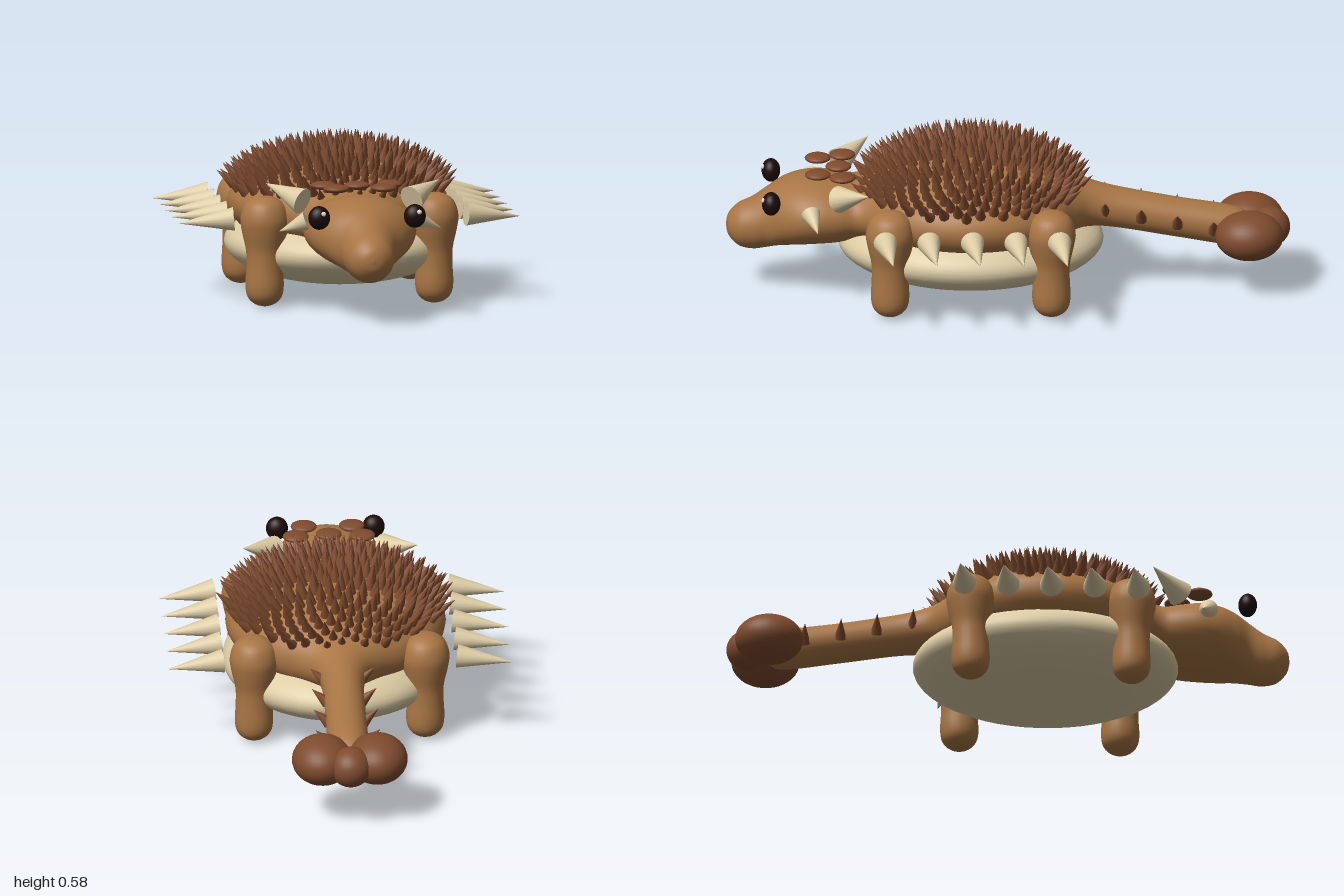
import * as THREE from 'three';
import { mergeGeometries } from 'three/addons/utils/BufferGeometryUtils.js';

const V = (x, y, z) => new THREE.Vector3(x, y, z);
const mat = (name, color) => Object.assign(new THREE.MeshStandardMaterial({ color }), { name });

// Cone whose base is centred on one point and whose tip is at another
function spike(base, tip, radius, sides = 8) {
  const dir = tip.clone().sub(base);
  const len = dir.length();
  const g = new THREE.ConeGeometry(radius, len, sides);
  g.translate(0, len / 2, 0);
  g.applyQuaternion(new THREE.Quaternion().setFromUnitVectors(V(0, 1, 0), dir.normalize()));
  return g.translate(base.x, base.y, base.z);
}

// Smooth skin through elliptical sections [z, centreY, radiusX, radiusY], front to back
function loft(sections, steps = 120, sides = 40) {
  const path = new THREE.CatmullRomCurve3(sections.map(s => V(s[0], s[1], 0)), false, 'catmullrom', 0.5);
  const size = new THREE.CatmullRomCurve3(sections.map(s => V(s[2], s[3], 0)), false, 'catmullrom', 0.5);
  const pos = [], idx = [];
  for (let i = 0; i <= steps; i++) {
    const p = path.getPoint(i / steps), r = size.getPoint(i / steps);
    for (let j = 0; j < sides; j++) {
      const a = j / sides * Math.PI * 2;
      pos.push(Math.max(r.x, 0.001) * Math.cos(a), p.y + Math.max(r.y, 0.001) * Math.sin(a), p.x);
      if (i === steps) continue;
      const k = i * sides + j, n = i * sides + (j + 1) % sides;
      idx.push(k, k + sides, n, n, k + sides, n + sides);
    }
  }
  const g = new THREE.BufferGeometry();
  g.setAttribute('position', new THREE.Float32BufferAttribute(pos, 3));
  g.setIndex(idx);
  g.computeVertexNormals();
  return g;
}

export function createModel() {
  const group = new THREE.Group();
  const hide = mat('hide brown', 0xa87544);
  const horn = mat('horn cream', 0xdccba4);
  const plate = mat('armour brown', 0x7f4b2e);
  const dark = mat('eye black', 0x1c0909);
  const white = mat('eye glint', 0xf5efe6);

  const add = (name, geometry, material) => {
    const m = new THREE.Mesh(geometry, material);
    m.name = name;
    group.add(m);
    return m;
  };
  const ball = (name, material, c, r, detail = 32) => {
    const m = add(name, new THREE.SphereGeometry(1, detail, Math.ceil(detail * 0.6)), material);
    m.position.set(...c);
    m.scale.set(...r);
    return m;
  };

  // Snout, head, neck, torso and tail in one skin
  add('bodySkin', loft([
    [0.995, 0.237, 0.001, 0.001],
    [0.985, 0.237, 0.04, 0.04],
    [0.95, 0.237, 0.076, 0.076],
    [0.90, 0.243, 0.09, 0.094],
    [0.85, 0.264, 0.105, 0.108],
    [0.80, 0.285, 0.148, 0.117],
    [0.74, 0.298, 0.185, 0.123],
    [0.67, 0.304, 0.2, 0.123],
    [0.60, 0.303, 0.192, 0.117],
    [0.54, 0.305, 0.178, 0.108],
    [0.49, 0.315, 0.2, 0.112],
    [0.44, 0.325, 0.25, 0.125],
    [0.36, 0.33, 0.322, 0.142],
    [0.26, 0.33, 0.37, 0.162],
    [0.13, 0.33, 0.39, 0.17],
    [0.00, 0.33, 0.37, 0.162],
    [-0.10, 0.33, 0.322, 0.142],
    [-0.18, 0.325, 0.25, 0.12],
    [-0.24, 0.32, 0.16, 0.096],
    [-0.30, 0.315, 0.098, 0.08],
    [-0.40, 0.298, 0.074, 0.073],
    [-0.60, 0.262, 0.072, 0.071],
    [-0.80, 0.23, 0.07, 0.07],
    [-0.86, 0.225, 0.04, 0.04]
  ]), hide);

  ball('belly', horn, [0, 0.187, 0.13], [0.4, 0.14, 0.47], 48);

  // Legs with rounded feet and swollen hips
  const profile = new THREE.SplineCurve([
    [0, 0], [0.035, 0.01], [0.06, 0.035], [0.068, 0.075], [0.065, 0.14],
    [0.066, 0.2], [0.08, 0.265], [0.086, 0.315], [0.07, 0.365], [0.035, 0.39], [0, 0.395]
  ].map(p => new THREE.Vector2(...p))).getPoints(40);
  profile.forEach(p => { p.x = Math.max(p.x, 0); p.y = Math.max(p.y, 0); });
  const legGeometry = new THREE.LatheGeometry(profile, 28);
  for (const side of [-1, 1]) {
    for (const [name, z] of [['frontLeg', 0.415], ['backLeg', -0.155]]) {
      add(name, legGeometry, hide).position.set(side * 0.303, 0, z);
    }
  }

  // Spiral of spikes over the back
  const backSpikes = [];
  const count = 300;
  for (let i = 0; i < count; i++) {
    const v = 1 - 0.68 * (i + 0.5) / count;
    const h = Math.sqrt(1 - v * v), a = i * 2.399963;
    const base = V(0.385 * h * Math.cos(a), 0.325 + 0.17 * v, 0.13 + 0.395 * h * Math.sin(a));
    const out = V(h * Math.cos(a) / 0.39, v / 0.17, h * Math.sin(a) / 0.4).normalize();
    backSpikes.push(spike(base, base.clone().addScaledVector(out, 0.085), 0.021));
  }
  add('backSpikes', mergeGeometries(backSpikes), plate);

  for (const s of [-1, 1]) {
    // Row of large flank spikes
    for (let i = 0; i < 5; i++) {
      const z = 0.432 - i * 0.154;
      add('flankSpike', spike(V(s * 0.415, 0.318, z), V(s * 0.612, 0.302, z - 0.028), 0.042, 20), horn);
    }
    // Head and cheek horns
    add('headHorn', spike(V(s * 0.195, 0.4, 0.595), V(s * 0.31, 0.452, 0.49), 0.048, 20), horn);
    add('cheekHorn', spike(V(s * 0.195, 0.345, 0.695), V(s * 0.29, 0.305, 0.67), 0.034, 20), horn);
    // Small tail thorns
    for (let i = 0; i < 4; i++) {
      const z = -0.345 - i * 0.128, y = 0.3 - i * 0.023;
      add('tailThorn', spike(V(s * 0.06, y, z), V(s * 0.115, y + 0.052, z), 0.023, 10), plate);
    }
    // Eyes with a glint
    ball('eye', dark, [s * 0.171, 0.375, 0.835], [0.039, 0.042, 0.033]);
    ball('eyeGlint', white, [s * 0.171 + 0.012, 0.392, 0.863], [0.009, 0.009, 0.006], 12);
    // Tail club lobes
    ball('clubLobe', plate, [s * 0.097, 0.225, -0.855], [0.108, 0.087, 0.121]);
  }
  ball('clubTip', plate, [0, 0.225, -0.925], [0.075, 0.072, 0.075]);

  // Flat scutes on the crown
  for (const [x, z] of [[-0.118, 0.583], [0, 0.597], [0.118, 0.583], [-0.085, 0.67], [0.085, 0.67]]) {
    ball('crownScute', plate, [x, 0.453, z], [0.046, 0.015, 0.046], 24);
  }
  return group;
}
